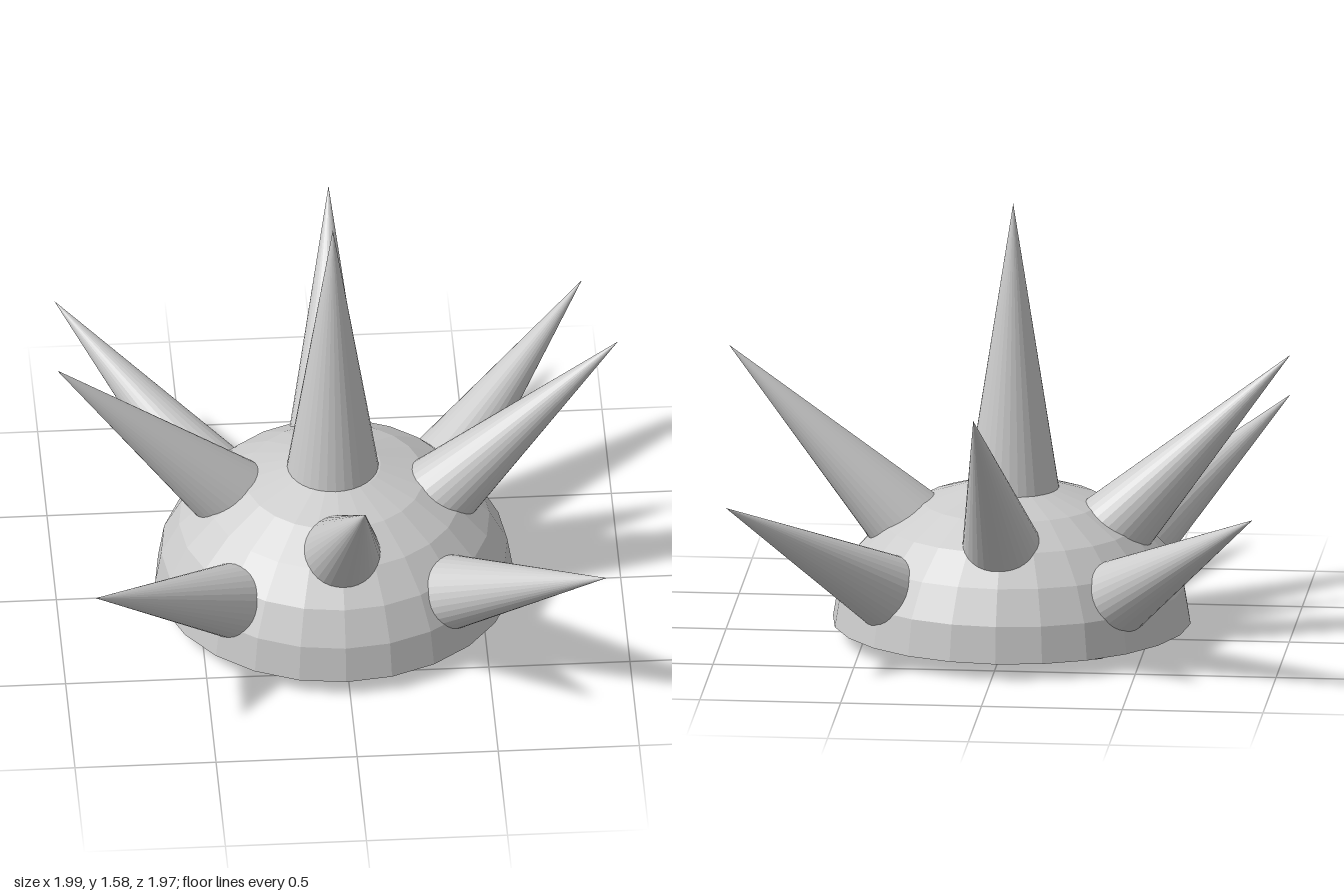
import * as THREE from 'three';

const material = new THREE.MeshStandardMaterial({
  color: 0xcccccc, flatShading: true, side: THREE.DoubleSide,
});
const SPIKE_RADIUS = 0.166;

// Closed cone running from the centre of its base to its tip
function makeSpike(name, base, tip) {
  const from = new THREE.Vector3(...base);
  const axis = new THREE.Vector3(...tip).sub(from);
  const length = axis.length();
  const geometry = new THREE.ConeGeometry(SPIKE_RADIUS, length, 32);
  geometry.translate(0, length / 2, 0);
  const spike = new THREE.Mesh(geometry, material);
  spike.name = name;
  spike.position.copy(from);
  spike.quaternion.setFromUnitVectors(new THREE.Vector3(0, 1, 0), axis.normalize());
  return spike;
}

export function createModel() {
  const model = new THREE.Group();
  model.name = 'spikedDome';

  // Hollow flattened half sphere, open underneath
  const shell = new THREE.SphereGeometry(0.635, 24, 6, 0, Math.PI * 2, 0, Math.PI / 2);
  shell.scale(1, 0.505 / 0.635, 1);
  const dome = new THREE.Mesh(shell, material);
  dome.name = 'dome';
  dome.position.set(-0.015, 0.06, 0);
  model.add(dome);

  // Spikes: name, base centre, tip
  const spikes = [
    ['topSpike', [-0.02, 0.52, 0], [-0.02, 1.58, 0]],
    // Upper ring, rising at about 45 degrees
    ['leftSpike', [0.25, 0.3, 0], [0.99, 1.04, 0]],
    ['rightSpike', [-0.27, 0.3, -0.045], [-1, 1.04, 0.04]],
    ['frontSpike', [-0.02, 0.3, 0.24], [0.03, 1.05, 0.98]],
    ['backSpike', [-0.02, 0.3, -0.25], [0.03, 1.04, -0.99]],
    // Lower ring on the diagonals, rising at about 30 degrees
    ['frontLeftSpike', [0.25, 0.145, 0.25], [0.89, 0.67, 0.9]],
    ['backLeftSpike', [0.27, 0.145, -0.24], [0.92, 0.67, -0.87]],
    ['frontRightSpike', [-0.28, 0.145, 0.25], [-0.92, 0.67, 0.9]],
    ['backRightSpike', [-0.3, 0.145, -0.24], [-0.95, 0.67, -0.87]],
  ];
  for (const [name, base, tip] of spikes) model.add(makeSpike(name, base, tip));

  return model;
}
